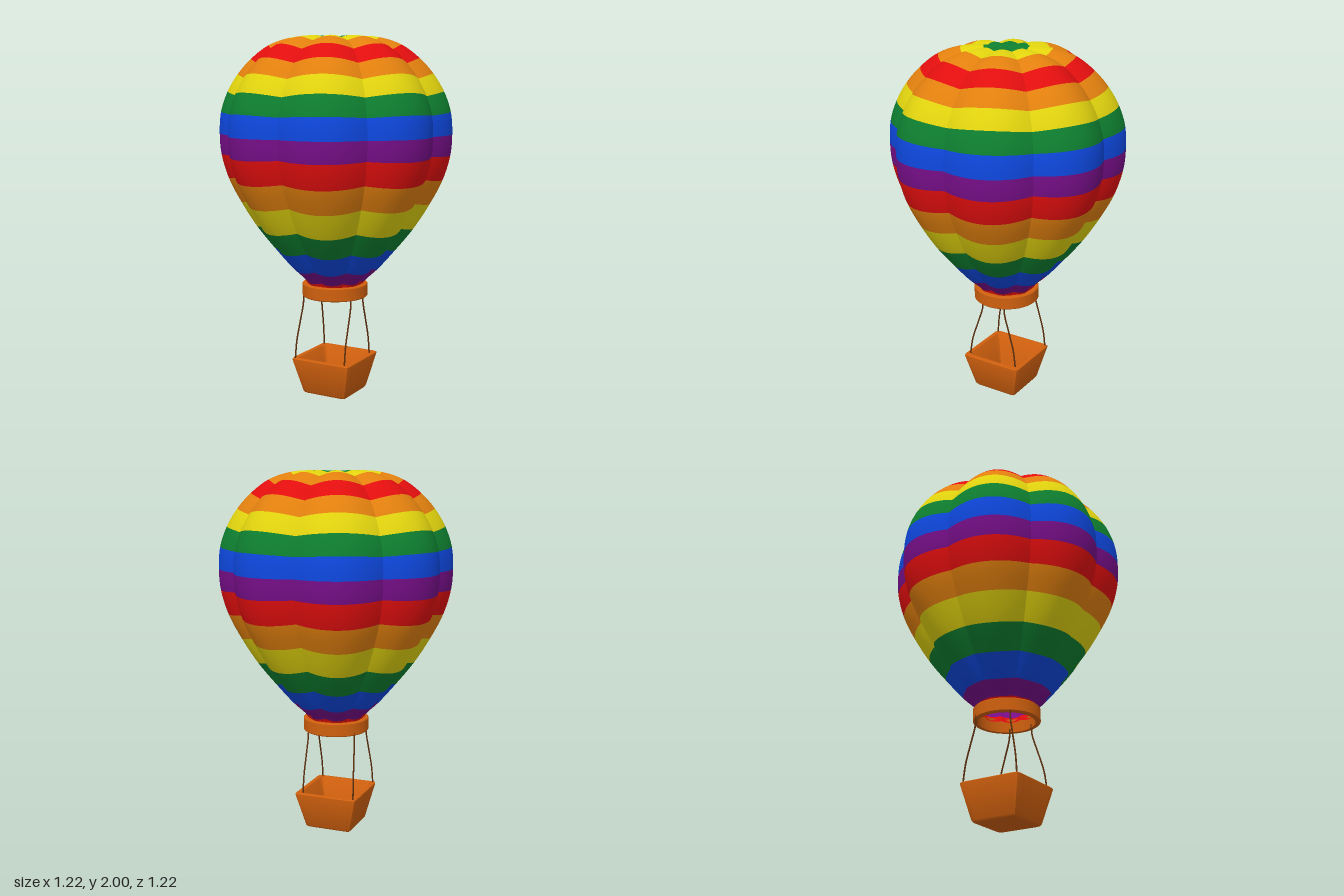
import * as THREE from 'three';
import { toCreasedNormals } from 'three/addons/utils/BufferGeometryUtils.js';

function mat(name, color, side = THREE.FrontSide) {
  const m = new THREE.MeshStandardMaterial({ color, side });
  m.name = name;
  return m;
}

// Seam profile from mouth to crown: [radius, height]; each span is one colour band
const SEAM = [
  [0.14, 0.62], [0.155, 0.655], [0.225, 0.73], [0.315, 0.845], [0.405, 0.97], [0.485, 1.11],
  [0.545, 1.24], [0.578, 1.365], [0.585, 1.47], [0.577, 1.58], [0.545, 1.68], [0.495, 1.77],
  [0.43, 1.85], [0.345, 1.922], [0.237, 1.968], [0.12, 1.987], [0, 1.993],
];
// Band colours from mouth to crown, as indices into the fabric palette
const BANDS = [0, 5, 4, 3, 2, 1, 0, 5, 4, 3, 2, 1, 0, 1, 2, 3];
const GORES = 8;

// One gore: bulges out along the profile normal between two seams
function goreGeometry() {
  const rowsPerBand = 5, cols = 16;
  const bands = SEAM.length - 1, rows = bands * rowsPerBand;
  const curve = new THREE.CatmullRomCurve3(SEAM.map(([r, y]) => new THREE.Vector3(r, y, 0)));
  const pos = [], index = [];
  const geo = new THREE.BufferGeometry();
  for (let i = 0; i <= rows; i++) {
    const p = curve.getPoint(i / rows), t = curve.getTangent(i / rows);
    for (let j = 0; j <= cols; j++) {
      const u = j / cols, a = u * Math.PI * 2 / GORES;
      const bulge = 0.095 * p.x * Math.sin(Math.PI * u);
      const r = p.x + t.y * bulge;
      pos.push(r * Math.cos(a), p.y - t.x * bulge, r * Math.sin(a));
    }
  }
  for (let i = 0; i < rows; i++) {
    for (let j = 0; j < cols; j++) {
      const a = i * (cols + 1) + j, b = a + cols + 1;
      index.push(a, b, a + 1, b, b + 1, a + 1);
    }
  }
  const perBand = rowsPerBand * cols * 6;
  BANDS.forEach((c, k) => geo.addGroup(k * perBand, perBand, c));
  geo.setAttribute('position', new THREE.Float32BufferAttribute(pos, 3));
  geo.setIndex(index);
  geo.computeVertexNormals();
  return geo;
}

function lathe(points, segments) {
  return new THREE.LatheGeometry(points.map(([r, y]) => new THREE.Vector2(r, y)), segments);
}

// Hollow tapered basket: a lathe whose circles are pushed out to rounded squares
function basketGeometry() {
  const geo = lathe([
    [0, 0], [0.118, 0], [0.128, 0.004], [0.135, 0.014], [0.181, 0.2], [0.181, 0.207], [0.177, 0.211],
    [0.157, 0.211], [0.152, 0.206], [0.112, 0.035], [0, 0.035],
  ], 80);
  const p = geo.attributes.position, n = 24;
  for (let i = 0; i < p.count; i++) {
    const x = p.getX(i), z = p.getZ(i), r = Math.hypot(x, z);
    if (r < 1e-6) continue;
    const k = Math.pow(Math.abs(x / r) ** n + Math.abs(z / r) ** n, -1 / n);
    p.setX(i, x * k);
    p.setZ(i, z * k);
  }
  return toCreasedNormals(geo, 0.7);
}

function ropeGeometry([x0, z0], [x1, z1]) {
  const at = (t, y) => new THREE.Vector3(x0 + (x1 - x0) * t, y, z0 + (z1 - z0) * t);
  const path = new THREE.CatmullRomCurve3([
    at(0, 0.58), at(0.04, 0.52), at(0.4, 0.42), at(0.8, 0.31), at(1, 0.2),
  ]);
  return new THREE.TubeGeometry(path, 24, 0.0045, 8);
}

export function createModel() {
  const group = new THREE.Group();
  const add = (name, geo, material, parent = group) => {
    const mesh = new THREE.Mesh(geo, material);
    mesh.name = name;
    parent.add(mesh);
    return mesh;
  };

  const fabric = [
    ['red fabric', 0xe20e0e], ['orange fabric', 0xe2800e], ['yellow fabric', 0xe2d40e],
    ['green fabric', 0x0e8030], ['blue fabric', 0x0e48e0], ['purple fabric', 0x760e88],
  ].map(([name, color]) => mat(name, color, THREE.DoubleSide));
  const wicker = mat('orange wicker', 0xd0600e);
  const rope = mat('brown rope', 0x5e300e);

  // Envelope
  const envelope = new THREE.Group();
  envelope.name = 'envelope';
  group.add(envelope);
  const gore = goreGeometry();
  for (let i = 0; i < GORES; i++) {
    add('gore', gore, fabric, envelope).rotation.y = i * Math.PI * 2 / GORES;
  }

  // Mouth ring
  add('mouthRing', toCreasedNormals(lathe([
    [0.155, 0.56], [0.178, 0.56], [0.183, 0.565], [0.183, 0.63], [0.178, 0.635], [0.155, 0.635], [0.155, 0.56],
  ], 64), 0.6), wicker);

  // Basket
  add('basket', basketGeometry(), wicker);

  // Ropes: [x, z] at the ring and at the basket rim
  const ropes = {
    frontLeftRope: [[0.14, 0.07], [0.146, 0.158]],
    backLeftRope: [[0.14, -0.07], [0.143, -0.148]],
    frontRightRope: [[-0.14, 0.11], [-0.165, 0.165]],
    backRightRope: [[-0.148, -0.1], [-0.165, -0.165]],
  };
  for (const [name, [top, bottom]] of Object.entries(ropes)) add(name, ropeGeometry(top, bottom), rope);

  return group;
}
